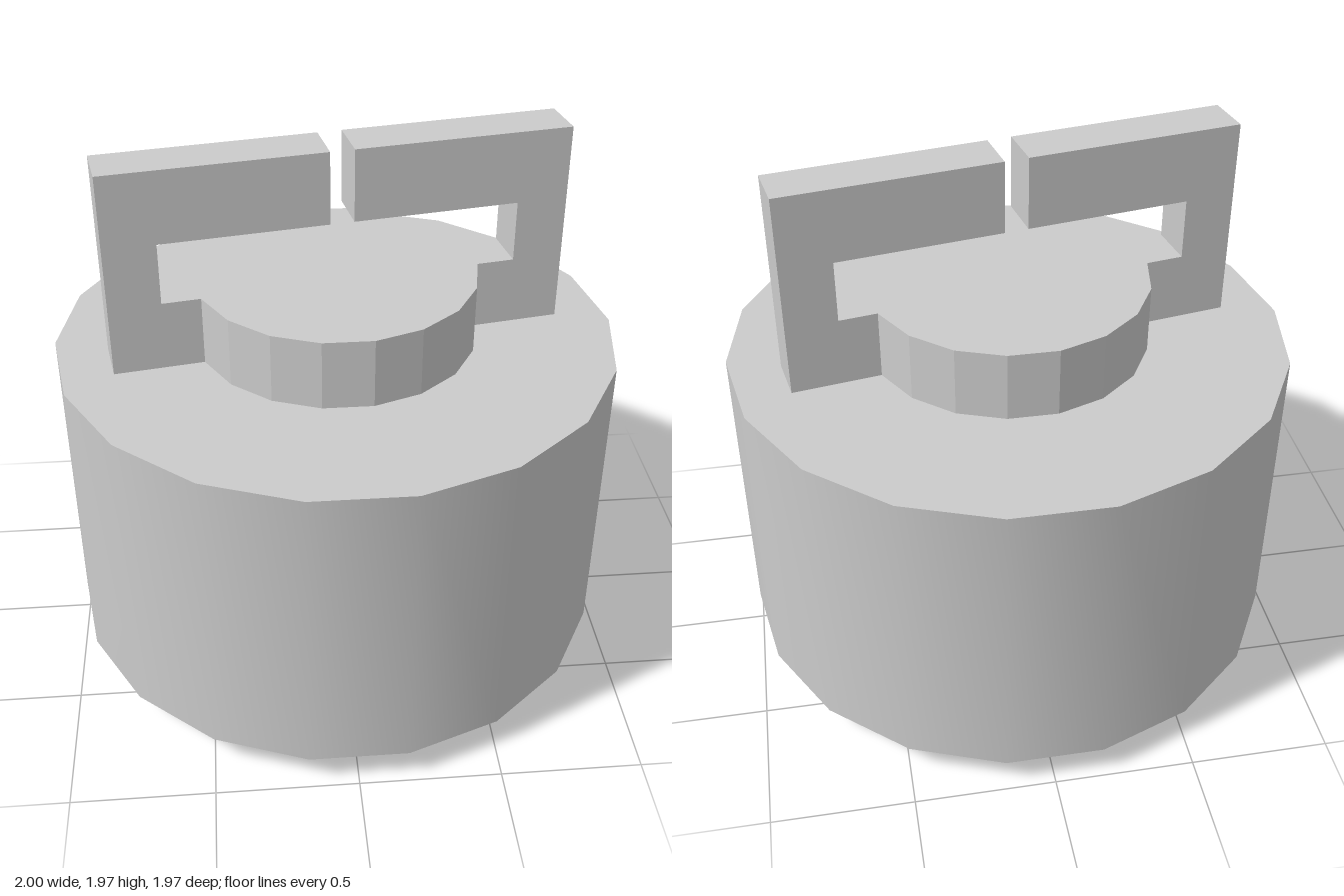
import * as THREE from 'three';
import { toCreasedNormals } from 'three/addons/utils/BufferGeometryUtils.js';

const SIDES = 18;

export function createModel() {
  const group = new THREE.Group();
  const smooth = new THREE.MeshStandardMaterial({ color: 0xcccccc });
  const flat = new THREE.MeshStandardMaterial({ color: 0xcccccc, flatShading: true });

  const add = (name, geometry, material, parent = group) => {
    const mesh = new THREE.Mesh(geometry, material);
    mesh.name = name;
    parent.add(mesh);
    return mesh;
  };

  // Turned part with a corner on +x; smooth round, sharp at the rims
  const turned = (profile) => toCreasedNormals(
    new THREE.LatheGeometry(profile.map(([r, y]) => new THREE.Vector2(r, y)), SIDES, Math.PI / 2), 0.5);

  // Drum with a shallow recess underneath, and the cone sitting in it
  add('drum', turned([[0.82, 0.18], [0.82, 0.12], [1, 0.12], [1, 1.24], [0, 1.24]]), smooth);
  add('bottomCone', turned([[0, 0], [0.82, 0.18]]), smooth);

  // Faceted disc on top
  const disc = new THREE.CylinderGeometry(0.5, 0.5, 0.25, SIDES, 1, false, Math.PI / 2);
  add('topDisc', disc, flat).position.y = 1.365;

  // Split handle: two mirrored C-shaped brackets, turned 10 degrees
  const handle = new THREE.Group();
  handle.name = 'handle';
  handle.rotation.y = THREE.MathUtils.degToRad(10);
  group.add(handle);

  const outline = [[0.45, 1.24], [0.808, 1.24], [0.808, 1.97], [0.042, 1.97],
    [0.042, 1.71], [0.627, 1.71], [0.627, 1.49], [0.45, 1.49]];
  for (const [name, side] of [['leftBracket', 1], ['rightBracket', -1]]) {
    const shape = new THREE.Shape(outline.map(([x, y]) => new THREE.Vector2(side * x, y)));
    const bracket = new THREE.ExtrudeGeometry(shape, { depth: 0.172, bevelEnabled: false });
    bracket.translate(0, 0, -0.086);
    add(name, bracket, flat, handle);
  }
  return group;
}
